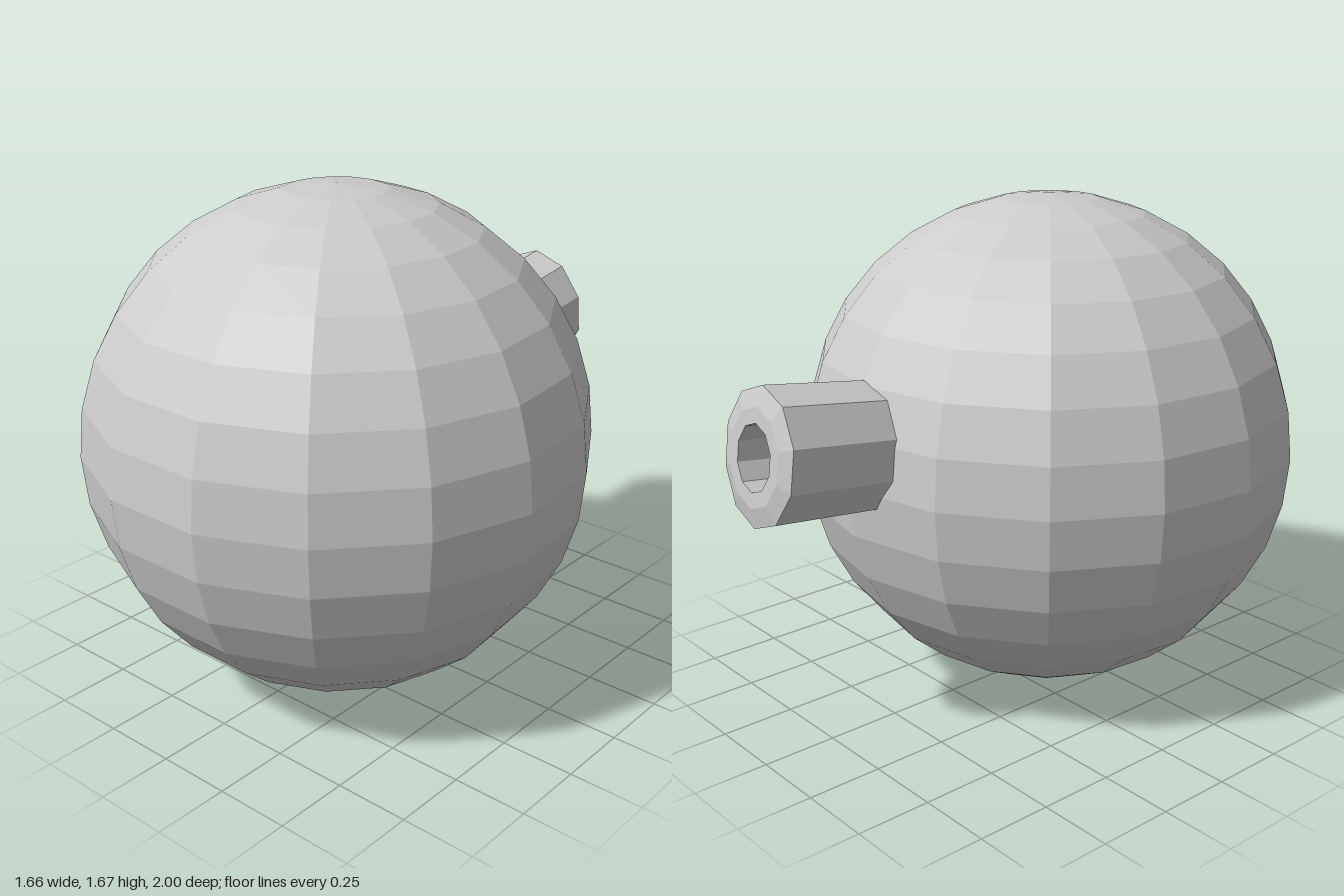
import * as THREE from 'three';

export function createModel() {
  const model = new THREE.Group();
  const material = new THREE.MeshStandardMaterial({ color: 0xcccccc, flatShading: true });

  // Faceted ball, with an edge line facing straight back
  const ballGeometry = new THREE.SphereGeometry(0.835, 15, 16);
  ballGeometry.rotateY(-Math.PI / 2);
  const ball = new THREE.Mesh(ballGeometry, material);
  ball.name = 'ball';
  ball.position.set(0, 0.838, 0.183);
  model.add(ball);

  // Hollow neck: outer wall, bevelled rim, bore and bore floor
  const profile = [
    [0.21, -0.08],
    [0.218, 0.364],
    [0.155, 0.381],
    [0.105, 0.381],
    [0.105, 0.02],
    [0, 0.02],
  ].map(([r, h]) => new THREE.Vector2(r, h));
  const neckGeometry = new THREE.LatheGeometry(profile, 10);
  neckGeometry.scale(0.87, 1, 1); // slightly oval, taller than wide
  const tilt = 0.125; // leans upward towards the back
  neckGeometry.rotateX(tilt - Math.PI / 2);
  const neck = new THREE.Mesh(neckGeometry, material);
  neck.name = 'neck';
  neck.position.set(0, 0.963, -0.602);
  model.add(neck);

  return model;
}
